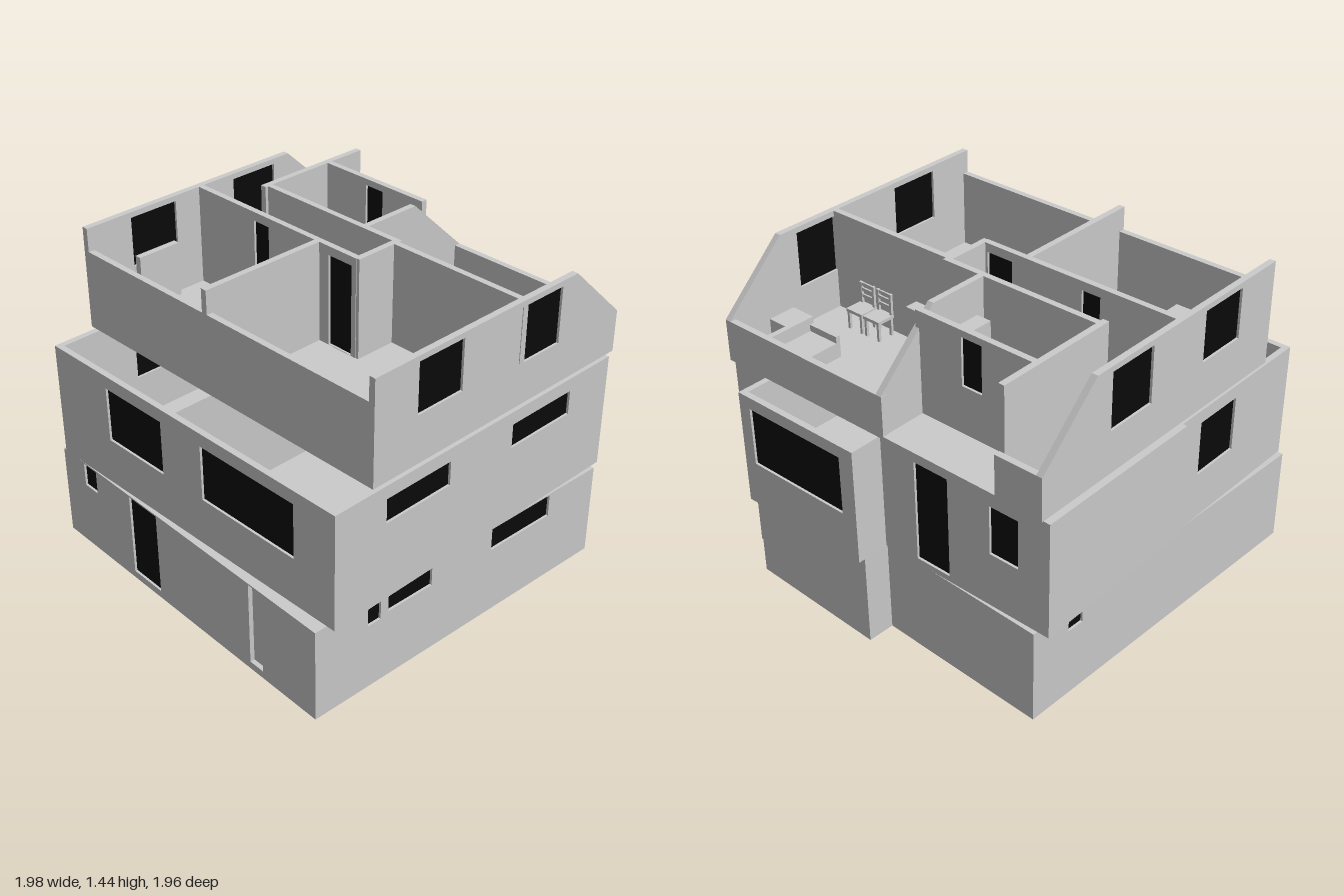
import * as THREE from 'three';

const GREY = new THREE.MeshStandardMaterial({ color: 0xcccccc });
const BLACK = new THREE.MeshStandardMaterial({ color: 0x0a0a0a });
const T = 0.028; // wall thickness

function box(parent, name, w, h, d, x, y, z, mat = GREY) {
  const m = new THREE.Mesh(new THREE.BoxGeometry(w, h, d), mat);
  m.position.set(x, y + h / 2, z);
  m.name = name;
  parent.add(m);
  return m;
}

// Wall from plan point a to b, thickness to its inner side.
// top: [coordinate along the wall, height] points; openings: [from, to, bottom, top, isPlain]
function wall(parent, name, a, b, y0, top, openings = [], t = T) {
  const axis = Math.abs(b[0] - a[0]) > Math.abs(b[1] - a[1]) ? 0 : 1;
  const along = (p) => Math.abs(p - a[axis]);
  const len = along(b[axis]);
  const tops = typeof top === 'number' ? [[a[axis], top], [b[axis], top]] : top;
  const pts = [[0, y0], [len, y0], ...tops.map(([p, y]) => [along(p), y]).sort((p, q) => q[0] - p[0])];
  const shape = new THREE.Shape(pts.map(([x, y]) => new THREE.Vector2(x, y)));
  const g = new THREE.Group();
  g.name = name;
  g.position.set(a[0], 0, a[1]);
  g.rotation.y = Math.atan2(-(b[1] - a[1]), b[0] - a[0]);
  for (const [p, q, lo, hi, plain] of openings) {
    const l = Math.min(along(p), along(q)), r = Math.max(along(p), along(q));
    shape.holes.push(new THREE.Path([[l, lo], [l, hi], [r, hi], [r, lo]].map(([x, y]) => new THREE.Vector2(x, y))));
    box(g, plain ? 'plainDoor' : 'darkPane', r - l, hi - lo, 0.006, (l + r) / 2, lo, t * (plain ? 0.85 : 0.5), plain ? GREY : BLACK);
  }
  const m = new THREE.Mesh(new THREE.ExtrudeGeometry(shape, { depth: t, bevelEnabled: false }), GREY);
  m.name = name + 'Panel';
  g.add(m);
  parent.add(g);
}

// Flat plate over a plan outline
function slab(parent, name, outline, y, h) {
  const shape = new THREE.Shape(outline.map(([x, z]) => new THREE.Vector2(x, -z)));
  const m = new THREE.Mesh(new THREE.ExtrudeGeometry(shape, { depth: h, bevelEnabled: false }), GREY);
  m.rotation.x = -Math.PI / 2;
  m.position.y = y;
  m.name = name;
  parent.add(m);
}

function storey(root, name, degrees) {
  const g = new THREE.Group();
  g.name = name;
  g.rotation.y = -THREE.MathUtils.degToRad(degrees);
  root.add(g);
  return g;
}

// Outline with a rear bay, clockwise from the back left corner
const bayOutline = (l, r, back, front, bl, br, bb) =>
  [[l, back], [bl, back], [bl, bb], [br, bb], [br, back], [r, back], [r, front], [l, front]];

function chair(parent, x, y, z, turn = 0) {
  const g = new THREE.Group();
  g.name = 'chair';
  for (const sx of [-1, 1]) for (const sz of [-1, 1]) box(g, 'chairLeg', 0.012, 0.08, 0.012, sx * 0.036, 0, sz * 0.036);
  box(g, 'chairSeat', 0.09, 0.014, 0.09, 0, 0.08, 0);
  for (const s of [-1, 1]) box(g, 'chairPost', 0.012, 0.1, 0.012, s * 0.036, 0.09, 0.04);
  for (const h of [0.12, 0.15, 0.175]) box(g, 'chairRail', 0.08, 0.014, 0.008, 0, h, 0.04);
  g.position.set(x, y, z);
  g.rotation.y = turn;
  parent.add(g);
}

function roundChair(parent, x, y, z, turn) {
  const g = new THREE.Group();
  g.name = 'roundChair';
  const seat = new THREE.Mesh(new THREE.CylinderGeometry(0.056, 0.056, 0.02, 24), GREY);
  seat.name = 'roundSeat';
  seat.position.y = 0.08;
  const rail = new THREE.Mesh(new THREE.TorusGeometry(0.07, 0.006, 8, 24, Math.PI), GREY);
  rail.name = 'curvedBack';
  rail.rotation.x = Math.PI / 2;
  rail.position.y = 0.14;
  g.add(seat, rail);
  for (let i = 0; i < 4; i++) {
    const a = (i / 3) * Math.PI;
    box(g, 'roundChairLeg', 0.01, 0.14, 0.01, Math.cos(a) * 0.066, 0, Math.sin(a) * 0.066);
  }
  g.position.set(x, y, z);
  g.rotation.y = turn;
  parent.add(g);
}

function sofa(parent, name, w, d, x, y, z, turn) {
  const g = new THREE.Group();
  g.name = name;
  box(g, 'sofaSeat', w, 0.07, d, 0, 0, 0);
  box(g, 'sofaBack', w, 0.13, 0.025, 0, 0, -d / 2 + 0.0125);
  for (const s of [-1, 1]) box(g, 'sofaArm', 0.02, 0.1, d, s * (w / 2 - 0.01), 0, 0);
  g.position.set(x, y, z);
  g.rotation.y = turn;
  parent.add(g);
}

export function createModel() {
  const house = new THREE.Group();
  house.name = 'house';

  // Ground storey
  const ground = storey(house, 'groundStorey', 13.9);
  const gp = bayOutline(-0.823, 0.823, -0.798, 0.798, -0.03, 0.64, -0.92);
  const gOpen = {
    5: [[0.528, 0.461, 0.31, 0.425], [0.42, 0.183, 0.325, 0.425], [-0.162, -0.513, 0.32, 0.425]],
    6: [[-0.673, -0.585, 0.315, 0.425], [-0.343, -0.158, 0.035, 0.425], [0.434, 0.512, 0.035, 0.425, true]],
    7: [[-0.6, -0.52, 0.32, 0.425]],
  };
  gp.forEach((p, i) => wall(ground, 'groundWall', p, gp[(i + 1) % 8], 0, 0.432, gOpen[i]));
  slab(ground, 'groundFloor', gp, 0, 0.02);
  slab(ground, 'groundCeiling', gp.map(([x, z]) => [x * 0.99, z * 0.99]), 0.418, 0.012);

  // Middle storey
  const middle = storey(house, 'middleStorey', 11.7);
  const mp = bayOutline(-0.828, 0.836, -0.81, 0.772, -0.005, 0.64, -0.96);
  const mOpen = {
    0: [[-0.7, -0.56, 0.68, 0.9], [-0.351, -0.18, 0.46, 0.92]],
    2: [[0.07, 0.58, 0.64, 0.905]],
    5: [[0.506, 0.159, 0.79, 0.9], [-0.204, -0.561, 0.79, 0.9]],
    6: [[-0.489, -0.141, 0.65, 0.9], [0.099, 0.62, 0.65, 0.9]],
    7: [[0.14, 0.38, 0.65, 0.9]],
  };
  mp.forEach((p, i) => wall(middle, 'middleWall', p, mp[(i + 1) % 8], 0.434, 0.96, mOpen[i]));
  slab(middle, 'middleFloor', mp, 0.434, 0.015);
  box(middle, 'sideCladding', 0.02, 0.526, 0.82, -0.838, 0.434, -0.4);
  wall(middle, 'middlePartition', [-0.11, 0.76], [-0.11, -0.3], 0.44, 0.955);
  chair(middle, 0.747, 0.449, 0.66, Math.PI / 2);
  chair(middle, 0.41, 0.449, 0.62, 0);
  box(middle, 'lowCabinet', 0.15, 0.2, 0.06, -0.586, 0.449, 0.69);
  sofa(middle, 'baySofa', 0.32, 0.07, 0.325, 0.449, -0.89, 0);

  // Top storey with walls that slope down toward the back
  const top = storey(house, 'topStorey', 11.7);
  const L = -0.83, R = 0.833, B = -0.835, F = 0.578, Y = 0.976, H = 1.44, LOW = 1.165;
  const sloped = (end) => [[B, LOW], [-0.54, H], [end, H]];
  const sideOpen = [[0.353, 0.113, 1.19, 1.415], [-0.213, -0.453, 1.165, 1.415]];
  slab(top, 'topFloor', [[L, B], [R, B], [R, F], [L, F]], Y, 0.012);
  wall(top, 'rightWall', [R, B], [R, F], Y, sloped(F), sideOpen);
  wall(top, 'leftWall', [L, F], [L, B], Y, sloped(F), sideOpen);
  wall(top, 'frontWall', [R, F], [L, F], Y, 1.335);
  wall(top, 'lowBackWallRight', [-0.05, B], [R, B], Y, LOW);
  wall(top, 'lowBackWallLeft', [L, B], [-0.61, B], Y, LOW);

  // Interior partitions
  wall(top, 'slopedPartition', [-0.02, B], [-0.02, -0.25], Y, sloped(-0.25));
  wall(top, 'corridorPartition', [-0.6, -0.8], [-0.6, -0.22], Y, H);
  wall(top, 'terraceWall', [-0.61, -0.62], [-0.03, -0.62], Y, H, [[-0.36, -0.26, 1.2, 1.41]]);
  wall(top, 'bathPartition', [-0.61, -0.262], [0.15, -0.262], Y, H);
  wall(top, 'hallWall', [L, -0.045], [0.15, -0.045], Y, H, [[-0.45, -0.36, 0.99, 1.4], [-0.005, 0.125, 0.99, 1.4]]);
  wall(top, 'hallEnd', [0.165, -0.262], [0.165, -0.02], Y, H);
  wall(top, 'bedroomPartition', [0.15, -0.245], [R, -0.245], Y, H);
  wall(top, 'frontPartition', [-0.058, -0.03], [-0.058, F], Y, H);

  // Furniture: name, width, height, depth, x, z
  const y = Y + 0.012;
  [['nightstand', 0.12, 0.11, 0.13, 0.735, -0.577],
    ['cabinet', 0.16, 0.2, 0.06, 0.25, -0.285],
    ['closet', 0.07, 0.32, 0.26, -0.11, -0.46],
    ['bathtub', 0.13, 0.12, 0.25, -0.24, -0.4],
    ['washstand', 0.13, 0.16, 0.08, -0.515, -0.53],
    ['toilet', 0.09, 0.12, 0.13, -0.53, -0.362],
    ['wallShelf', 0.03, 0.25, 0.21, -0.785, 0.24],
    ['console', 0.24, 0.16, 0.1, -0.2, 0.06],
    ['table', 0.19, 0.12, 0.14, -0.5, 0.47],
  ].forEach(([name, w, h, d, x, z]) => box(top, name, w, h, d, x, y, z));
  sofa(top, 'bedroomSofa', 0.25, 0.18, 0.585, y, -0.66, -Math.PI / 2);
  sofa(top, 'armchair', 0.12, 0.11, -0.675, y, 0.44, 0.7);
  for (const x of [0.5, 0.6]) chair(top, x, y, -0.31);
  chair(top, 0.71, y, -0.12, Math.PI);
  roundChair(top, 0.574, y, -0.1, Math.PI);
  roundChair(top, 0.047, y, 0.41, 0.5);

  return house;
}
